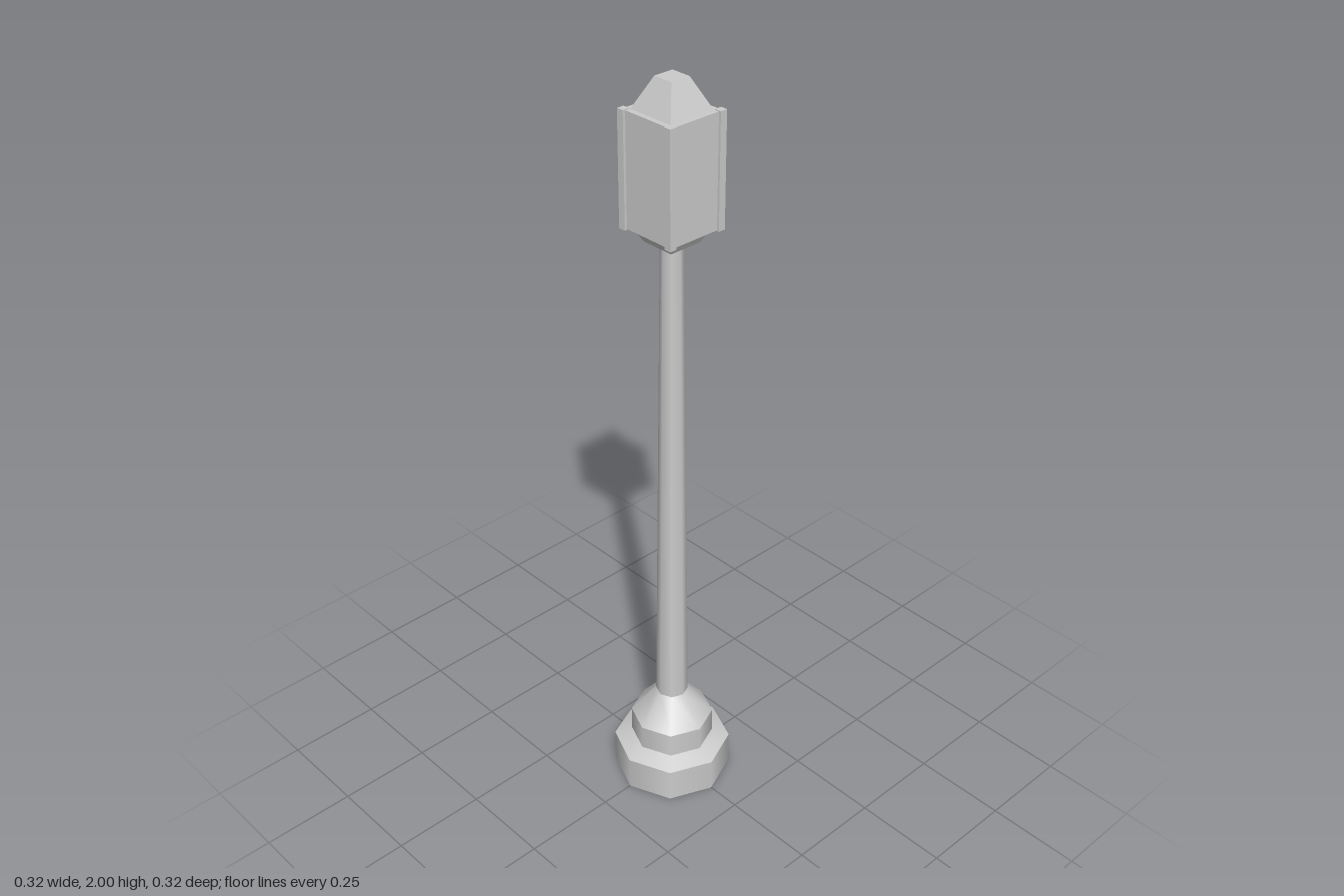
import * as THREE from 'three';

const grey = new THREE.MeshStandardMaterial({ color: 0xcccccc, side: THREE.DoubleSide });
const faceted = new THREE.MeshStandardMaterial({ color: 0xcccccc, flatShading: true });

function add(group, name, geometry, y = 0, x = 0, z = 0, material = faceted) {
  const mesh = new THREE.Mesh(geometry, material);
  mesh.name = name;
  mesh.position.set(x, y, z);
  group.add(mesh);
  return mesh;
}

// Four-sided frustum with its sides facing the axes, sized by half widths.
function squareFrustum(top, bottom, height) {
  const g = new THREE.CylinderGeometry(top * Math.SQRT2, bottom * Math.SQRT2, height, 4);
  return g.rotateY(Math.PI / 4);
}

export function createModel() {
  const lamp = new THREE.Group();
  lamp.name = 'streetLamp';

  // Eight-sided pedestal and post; one lathe per band keeps the rims crisp
  const profile = [
    [0.158, 0], [0.158, 0.095], [0.111, 0.115], [0.111, 0.185], [0.043, 0.265], [0.028, 1.607],
  ];
  const names = ['plinth', 'plinthShoulder', 'pedestal', 'pedestalShoulder', 'post'];
  names.forEach((name, i) => {
    const band = [profile[i], profile[i + 1]].map(([r, y]) => new THREE.Vector2(r, y));
    add(lamp, name, new THREE.LatheGeometry(band, 8), 0, 0, 0, grey);
  });

  // Lantern
  const lantern = new THREE.Group();
  lantern.name = 'lantern';
  lamp.add(lantern);
  add(lantern, 'lanternCup', squareFrustum(0.065, 0.045, 0.035), 1.6225);
  add(lantern, 'lanternBody', new THREE.BoxGeometry(0.156, 0.284, 0.158), 1.782);
  add(lantern, 'lanternRoof', squareFrustum(0.027, 0.065, 0.077), 1.9615);

  // Corner posts
  for (const x of [-1, 1]) {
    for (const z of [-1, 1]) {
      add(lantern, 'cornerPost', new THREE.BoxGeometry(0.019, 0.288, 0.019), 1.782, x * 0.0755, z * 0.0755);
    }
  }
  return lamp;
}
